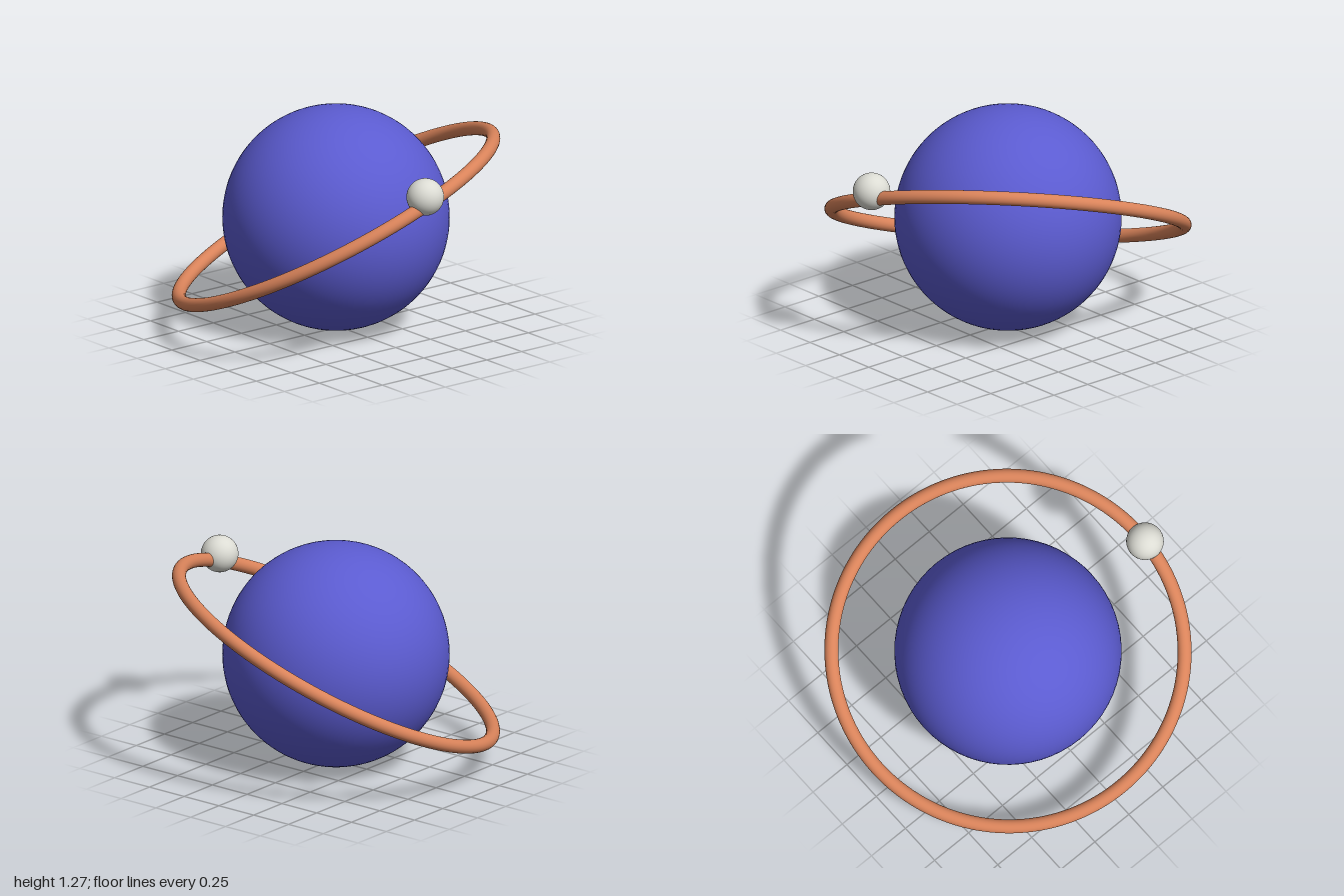
import * as THREE from 'three';

function part(name, geometry, color, x, y, z) {
  const mesh = new THREE.Mesh(geometry, new THREE.MeshStandardMaterial({ color }));
  mesh.name = name;
  mesh.position.set(x, y, z);
  return mesh;
}

export function createModel() {
  const model = new THREE.Group();
  model.name = 'ringedPlanet';

  // Planet resting on the ground
  const planet = part('planet', new THREE.SphereGeometry(0.635, 64, 48), 0x5b5bd0, -0.03, 0.635, 0);

  // Tilted orbit ring, concentric with the planet
  const ring = part('orbitRing', new THREE.TorusGeometry(0.987, 0.039, 24, 160), 0xd9835a, -0.03, 0.637, 0);
  const axis = new THREE.Vector3(-0.336, 0.888, 0.316).normalize();
  ring.quaternion.setFromUnitVectors(new THREE.Vector3(0, 0, 1), axis);

  // Small moon sitting slightly above the ring's centreline
  const moon = part('moon', new THREE.SphereGeometry(0.105, 40, 28), 0xdcdcd4, 0.89, 0.996, 0.103);

  model.add(planet, ring, moon);
  return model;
}
